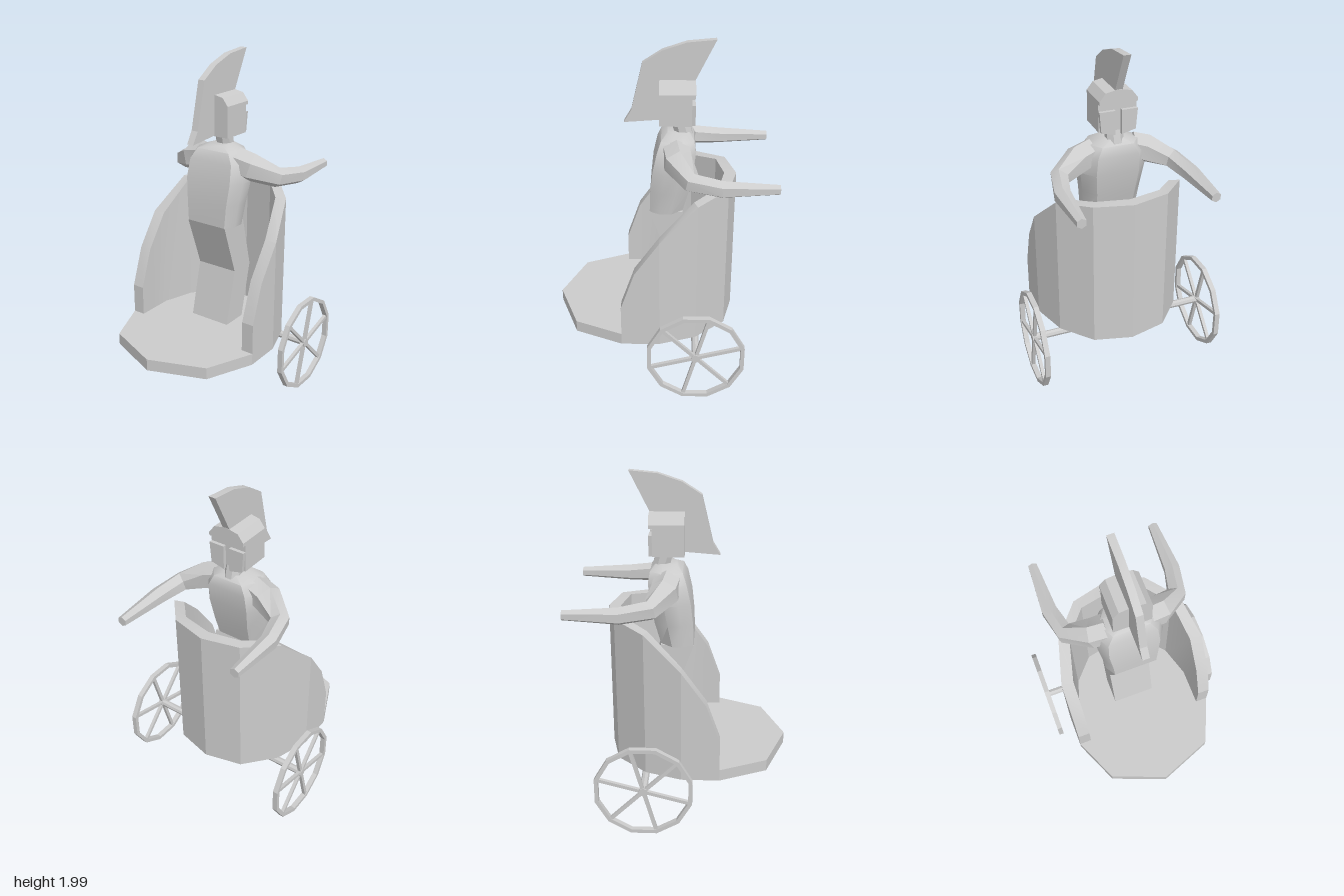
import * as THREE from 'three';
import { toCreasedNormals } from 'three/addons/utils/BufferGeometryUtils.js';

const mat = new THREE.MeshStandardMaterial({ color: 0xcccccc });
const V = (x, y, z) => new THREE.Vector3(x, y, z);

function add(parent, name, geometry, crease = 0.3) {
  const mesh = new THREE.Mesh(toCreasedNormals(geometry, crease), mat);
  mesh.name = name;
  parent.add(mesh);
  return mesh;
}

// Closed skin through rings of equal point count, turned outward by its signed volume
function loft(rings) {
  const tris = [], n = rings[0].length;
  for (let i = 0; i + 1 < rings.length; i++) {
    for (let j = 0; j < n; j++) {
      const k = (j + 1) % n, a = rings[i], b = rings[i + 1];
      tris.push([a[j], a[k], b[k]], [a[j], b[k], b[j]]);
    }
  }
  const first = rings[0], last = rings[rings.length - 1];
  for (let j = 1; j + 1 < n; j++) {
    tris.push([first[0], first[j + 1], first[j]], [last[0], last[j], last[j + 1]]);
  }
  let volume = 0;
  for (const [a, b, c] of tris) volume += a.dot(b.clone().cross(c));
  const points = tris.flatMap(([a, b, c]) => (volume > 0 ? [a, b, c] : [a, c, b]));
  return new THREE.BufferGeometry().setFromPoints(points);
}

// Polygon section around a path, one radius per point
function limb(path, radii, sides) {
  return loft(path.map((p, i) => {
    const dir = path[Math.min(i + 1, path.length - 1)].clone().sub(path[Math.max(i - 1, 0)]).normalize();
    const side = V(0, 1, 0).cross(dir).normalize();
    const up = dir.clone().cross(side);
    return Array.from({ length: sides }, (_, j) => {
      const a = (j + 0.5) / sides * Math.PI * 2;
      return p.clone().addScaledVector(side, Math.cos(a) * radii[i]).addScaledVector(up, Math.sin(a) * radii[i]);
    });
  }));
}

function extrude(points, depth, holes = []) {
  const shape = new THREE.Shape(points.map(([x, y]) => new THREE.Vector2(x, y)));
  shape.holes = holes;
  return new THREE.ExtrudeGeometry(shape, { depth, bevelEnabled: false });
}

function buildCar() {
  const car = new THREE.Group();
  car.name = 'chariotBody';

  // Floor slab
  const half = [[0, 0.63], [0.325, 0.505], [0.445, 0.23], [0.445, 0.01], [0.375, -0.2], [0.22, -0.375], [0, -0.43]];
  const outline = [...half, ...half.slice(1, -1).reverse().map(([x, z]) => [-x, z])];
  add(car, 'floor', loft([0.31, 0.38].map(y => outline.map(([x, z]) => V(x, y, z)))));

  // Wall stations: outer x, z, inner x, z, top height
  const right = [
    [0.445, 0.23, 0.372, 0.23, 0.56], [0.445, 0.15, 0.372, 0.15, 0.79],
    [0.445, 0.01, 0.372, 0.01, 0.99], [0.375, -0.2, 0.315, -0.18, 1.18],
    [0.22, -0.375, 0.19, -0.32, 1.21],
  ];
  const left = right.map(([a, b, c, d, h]) => [-a, b, -c, d, h]).reverse();
  const stations = [...right, [0, -0.43, 0, -0.36, 1.21], ...left];
  add(car, 'wall', loft(stations.map(([ox, oz, ix, iz, top]) =>
    [V(ox, 0.31, oz), V(ox, top, oz), V(ix, top, iz), V(ix, 0.31, iz)])));

  // Axle
  add(car, 'axle', new THREE.CylinderGeometry(0.022, 0.022, 1.08, 8).rotateZ(Math.PI / 2).translate(0, 0.29, -0.2));
  return car;
}

function buildWheel(x) {
  const wheel = new THREE.Group();
  wheel.name = x > 0 ? 'leftWheel' : 'rightWheel';
  const ring = r => Array.from({ length: 12 }, (_, i) => {
    const a = Math.PI / 12 + i * Math.PI / 6;
    return [r * Math.cos(a), r * Math.sin(a)];
  });
  const hole = new THREE.Path(ring(0.265).map(([a, b]) => new THREE.Vector2(a, b)));
  add(wheel, 'rim', extrude(ring(0.288), 0.03, [hole]).translate(0, 0, -0.015));
  for (let i = 0; i < 6; i++) {
    add(wheel, 'spoke', new THREE.BoxGeometry(0.268, 0.02, 0.02).translate(0.134, 0, 0)
      .rotateZ(Math.PI / 12 + i * Math.PI / 3));
  }
  add(wheel, 'hub', new THREE.CylinderGeometry(0.026, 0.026, 0.03, 8).rotateX(Math.PI / 2));
  wheel.rotation.y = Math.PI / 2;
  wheel.position.set(x, 0.288, -0.2);
  return wheel;
}

function buildDriver() {
  const driver = new THREE.Group();
  driver.name = 'driver';

  // Bent legs: height, half width, back z, front z
  const legs = [[0.375, 0.13, 0.04, -0.12], [0.71, 0.13, -0.04, -0.2], [1.02, 0.132, 0.07, -0.12]];
  add(driver, 'legs', loft(legs.map(([y, w, b, f]) => [V(-w, y, b), V(w, y, b), V(w, y, f), V(-w, y, f)])));

  // Torso tapering to the waist
  const torso = [
    [1.02, 0.165, 0.07, -0.12], [1.15, 0.177, 0.066, -0.155], [1.28, 0.195, 0.052, -0.18],
    [1.39, 0.185, 0.028, -0.19], [1.45, 0.14, 0.005, -0.18], [1.48, 0.055, -0.03, -0.15],
  ];
  const section = [[0.78, 0], [1, 0.3], [1, 0.65], [0.65, 1]];
  const around = [...section, ...section.map(([x, t]) => [-x, t]).reverse()];
  add(driver, 'torso', loft(torso.map(([y, w, b, f]) =>
    around.map(([x, t]) => V(x * w, y, b + (f - b) * t)))), 0.7);

  // Arms reaching forward for the reins
  for (const s of [1, -1]) {
    const path = [V(0.11, 1.39, -0.08), V(0.2, 1.365, -0.09), V(0.335, 1.31, -0.165),
      V(0.373, 1.29, -0.33), V(0.373, 1.29, -0.636)];
    add(driver, s > 0 ? 'leftArm' : 'rightArm',
      limb(path.map(p => V(p.x * s, p.y, p.z)), [0.085, 0.085, 0.058, 0.05, 0.029], 6));
  }

  add(driver, 'neck', limb([V(0, 1.43, -0.13), V(0, 1.58, -0.09)], [0.052, 0.052], 8));
  return driver;
}

function buildHelmet() {
  const helmet = new THREE.Group();
  helmet.name = 'helmet';
  const dome = [[0.11, 1.72], [0.075, 1.765], [0, 1.78], [-0.075, 1.765], [-0.11, 1.72]];
  add(helmet, 'helmetShell', extrude([[-0.11, 1.54], [0.11, 1.54], ...dome], 0.18).translate(0, 0, -0.165));

  // Face plate split by the eye slit and the central slot
  add(helmet, 'browPlate', extrude([[-0.11, 1.7], [0.11, 1.7], ...dome], 0.02).translate(0, 0, -0.185));
  for (const s of [1, -1]) {
    const cheek = [[0.018, 1.52], [0.1, 1.54], [0.11, 1.66], [0.018, 1.66]];
    add(helmet, 'cheekPlate', extrude(cheek.map(([x, y]) => [x * s, y]), 0.02).translate(0, 0, -0.185));
  }

  // Sweeping crest, profile in (-z, y)
  const crest = [[-0.014, 1.545], [-0.214, 1.53], [-0.172, 1.6], [-0.14, 1.735], [-0.108, 1.87],
    [0, 1.94], [0.135, 1.985], [0.294, 2], [0.18, 1.77], [-0.01, 1.77]];
  add(helmet, 'crest', extrude(crest, 0.042).translate(0, 0, -0.021).rotateY(Math.PI / 2));
  return helmet;
}

export function createModel() {
  const model = new THREE.Group();
  model.name = 'chariotWithDriver';
  model.add(buildCar(), buildWheel(0.537), buildWheel(-0.537), buildDriver(), buildHelmet());
  return model;
}
